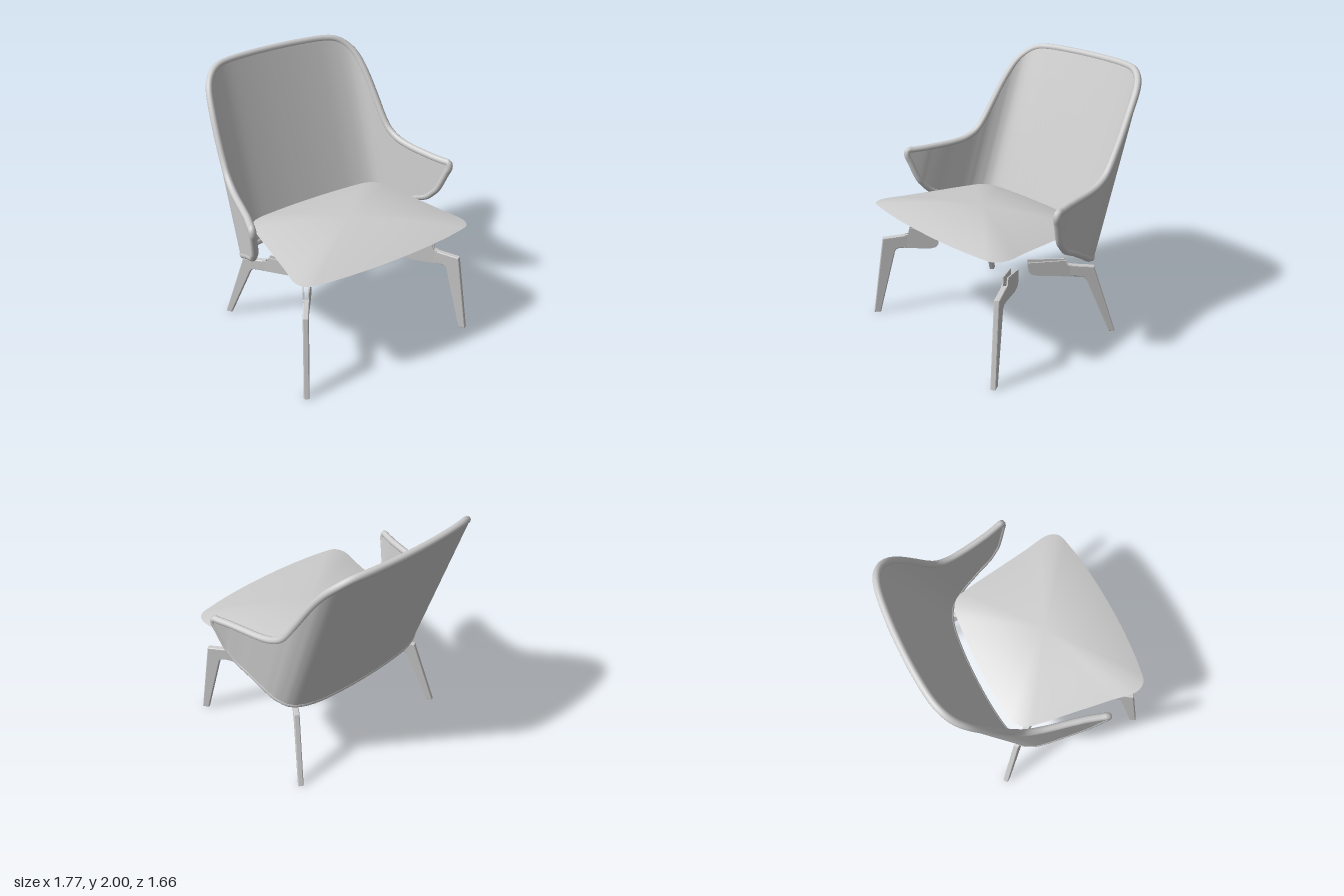
import * as THREE from 'three';
import { ParametricGeometry } from 'three/addons/geometries/ParametricGeometry.js';

const V = (x, y, z) => new THREE.Vector3(x, y, z);
const LEAN = 0.343; // backward lean of the shell per unit of height

// Half of the shell, centre to arm tip: x, z at the base, bottom y, top y
const HALF = [
  [0, -0.335, 0.638, 1.973], [0.2, -0.33, 0.638, 1.972], [0.4, -0.312, 0.638, 1.968],
  [0.52, -0.285, 0.642, 1.953], [0.6, -0.25, 0.648, 1.905], [0.65, -0.205, 0.655, 1.83],
  [0.68, -0.155, 0.675, 1.70], [0.70, -0.11, 0.692, 1.54], [0.713, -0.065, 0.715, 1.39],
  [0.725, -0.02, 0.74, 1.305], [0.742, 0.06, 0.78, 1.255], [0.763, 0.16, 0.83, 1.235],
  [0.785, 0.27, 0.878, 1.228], [0.803, 0.35, 0.94, 1.226], [0.817, 0.41, 1.0, 1.224],
  [0.857, 0.54, 1.19, 1.222],
];

function createShell(material) {
  const shell = new THREE.Group();
  shell.name = 'backShell';
  const rows = [...HALF.slice(1).reverse().map(([x, ...r]) => [-x, ...r]), ...HALF];
  const spline = (f) => new THREE.CatmullRomCurve3(rows.map(f), false, 'catmullrom', 0.5);
  const plan = spline(([x, z]) => V(x, 0, z));
  const heights = spline(([, , low, high]) => V(low, high, 0));

  // Point on the leaning sheet, pushed sideways off its middle
  const point = (u, v, offset, target) => {
    const p = plan.getPoint(u), t = plan.getTangent(u), h = heights.getPoint(u);
    const y = h.x + (h.y - h.x) * v;
    return target.set(p.x + t.z * offset, y, p.z - t.x * offset - (y - 0.62) * LEAN);
  };

  for (const [name, offset] of [['shellOutside', 0.021], ['shellInside', -0.021]]) {
    const geometry = new ParametricGeometry((u, v, p) => point(u, v, offset, p), 120, 6);
    const sheet = new THREE.Mesh(geometry, material);
    sheet.name = name;
    shell.add(sheet);
  }

  // Rounded rim running all the way around the edge
  const N = 110, edge = [];
  for (let i = 0; i <= N; i++) edge.push(point(i / N, 1, 0, V()));
  for (let i = N; i >= 0; i--) edge.push(point(i / N, 0, 0, V()));
  const path = new THREE.CatmullRomCurve3(edge, true);
  const rim = new THREE.Mesh(new THREE.TubeGeometry(path, 400, 0.027, 12, true), material);
  rim.name = 'shellRim';
  shell.add(rim);
  return shell;
}

function createSeat(material) {
  const seat = new THREE.Group();
  seat.name = 'seat';
  const half = [[0.3, 0.828], [0.58, 0.795], [0.69, 0.765], [0.732, 0.69], [0.7, 0.47],
    [0.655, 0.17], [0.618, -0.07], [0.59, -0.18], [0.52, -0.245], [0.3, -0.276]];
  const ring = [[0, 0.838], ...half, [0, -0.285], ...half.map(([x, z]) => [-x, z]).reverse()];
  const outline = new THREE.CatmullRomCurve3(ring.map(([x, z]) => V(x, 0, z)), true);
  const middle = 0.28;

  // Tilted flat underside, domed top
  for (const [name, dome] of [['seatTop', 0.09], ['seatUnderside', 0]]) {
    const geometry = new ParametricGeometry((u, v, p) => {
      const r = 0.002 + 0.998 * v, e = outline.getPoint(u);
      const z = middle + (e.z - middle) * r;
      return p.set(e.x * r, 0.945 - 0.058 * (0.83 - z) + dome * (1 - r * r), z);
    }, 120, 16);
    const face = new THREE.Mesh(geometry, material);
    face.name = name;
    seat.add(face);
  }
  return seat;
}

// Side outlines: distance out from the inner end of the arm, height
const LEGS = {
  frontLeg: {
    x: 0.45, z: 0.365, spread: 0.65, out: 1,
    post: [[0.40, 0], [0.445, 0], [0.362, 0.64], [0.2, 0.657], [0.2, 0.55], [0.262, 0.548],
      [0.28, 0.537], [0.288, 0.515]],
    prong: [[0.22, 0.55], [0.22, 0.656], [0.195, 0.662], [0.183, 0.712], [0, 0.675],
      [0, 0.572], [0.018, 0.546], [0.06, 0.535]],
  },
  rearLeg: {
    x: 0.34, z: 0.13, spread: 0.7, out: -1,
    post: [[0.515, 0], [0.555, 0], [0.407, 0.56], [0.25, 0.58], [0.25, 0.488], [0.33, 0.48],
      [0.347, 0.472], [0.36, 0.45]],
    prong: [[0.27, 0.487], [0.27, 0.578], [0.24, 0.582], [0.227, 0.62], [0, 0.62],
      [0, 0.56], [0.012, 0.528], [0.06, 0.511]],
  },
};

function createLeg(name, side, material) {
  const { x, z, spread, out, post, prong } = LEGS[name];
  const stretch = Math.hypot(1, spread);
  const leg = new THREE.Group();
  leg.name = (side > 0 ? 'left' : 'right') + name[0].toUpperCase() + name.slice(1);
  leg.position.set(side * x, 0, z);
  leg.rotation.y = Math.atan2(-out, side * spread);

  const plate = (points, depth, bevel) => {
    const shape = new THREE.Shape(points.map(([d, y]) => new THREE.Vector2(d * stretch, y)));
    const geometry = new THREE.ExtrudeGeometry(shape, {
      depth: depth - 2 * bevel, bevelEnabled: bevel > 0, bevelThickness: bevel,
      bevelSize: bevel, bevelOffset: -bevel, bevelSegments: 3,
    });
    return geometry.translate(0, 0, bevel - depth / 2);
  };

  const postMesh = new THREE.Mesh(plate(post, 0.042, 0.008), material);
  postMesh.name = 'post';
  leg.add(postMesh);

  // Two thin prongs that open slightly toward the inner end
  const root = prong[0][0] * stretch;
  for (const s of [-1, 1]) {
    const geometry = plate(prong, 0.01, 0).translate(-root, 0, 0);
    const mesh = new THREE.Mesh(geometry, material);
    mesh.name = 'prong';
    mesh.position.set(root, 0, s * 0.015);
    mesh.rotation.y = s * 0.05;
    leg.add(mesh);
  }
  return leg;
}

export function createModel() {
  const grey = new THREE.MeshStandardMaterial({ color: 0xcccccc, side: THREE.DoubleSide });
  grey.name = 'light grey';
  const chair = new THREE.Group();
  chair.name = 'loungeChair';
  chair.add(createShell(grey), createSeat(grey));
  for (const name of Object.keys(LEGS)) {
    for (const side of [-1, 1]) chair.add(createLeg(name, side, grey));
  }
  return chair;
}
